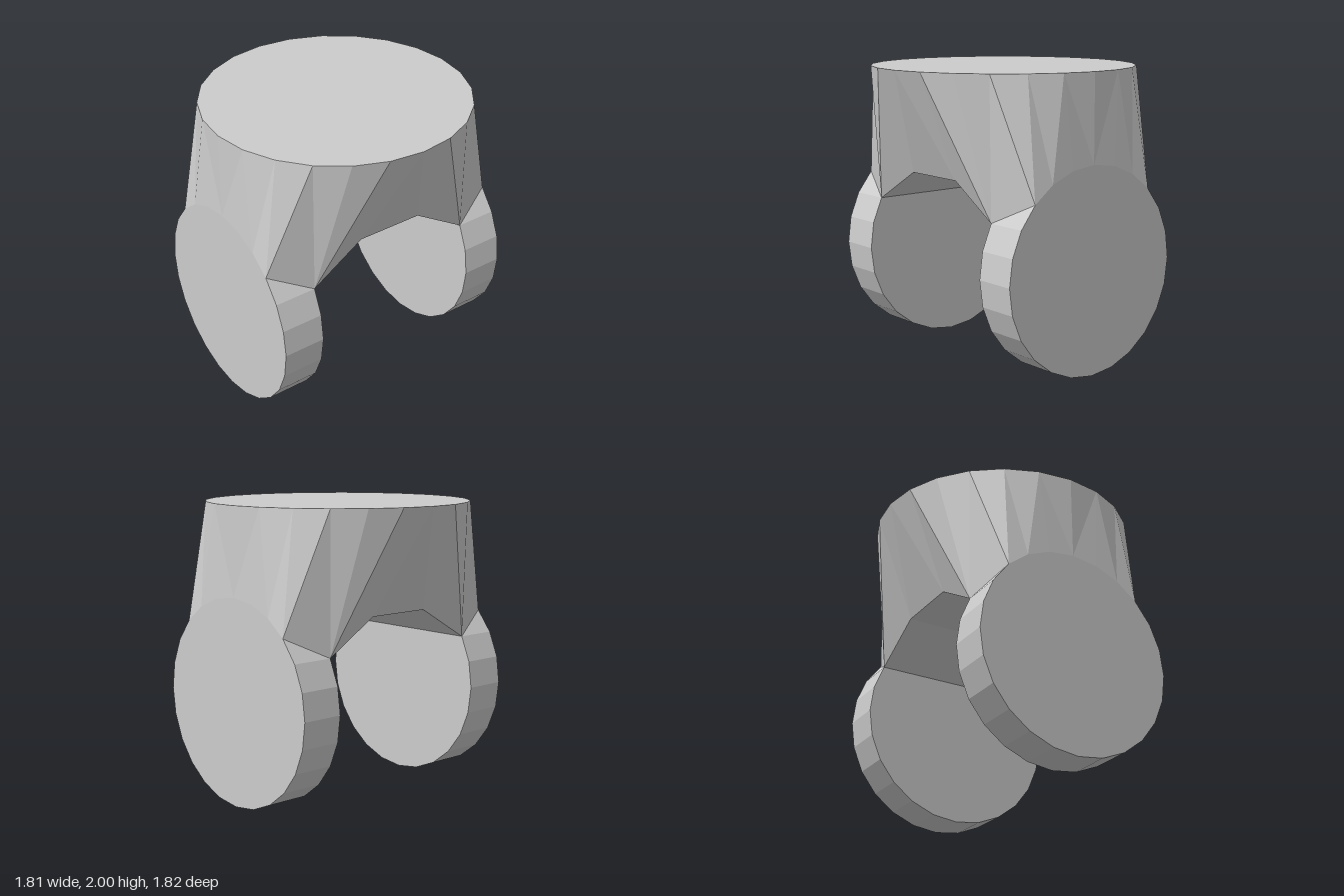
import * as THREE from 'three';

const SIDES = 24, STEP = Math.PI / 12;
const TOP_R = 0.907, TOP_Y = 2;
const DISC_R = 0.703, DISC_OUT = 0.91, DISC_IN = 0.615;

// Rim vertex i of the round top, counted from the front towards +x
const rim = i => [TOP_R * Math.sin(i * STEP), TOP_Y, TOP_R * Math.cos(i * STEP)];
// Vertex i of a disc, counted from its highest point towards +x
const discPoint = (i, z) => [DISC_R * Math.sin(i * STEP), DISC_R + DISC_R * Math.cos(i * STEP), z];

function facetGeometry(triangles) {
  const geometry = new THREE.BufferGeometry();
  geometry.setAttribute('position', new THREE.Float32BufferAttribute(triangles.flat(2), 3));
  geometry.computeVertexNormals();
  return geometry;
}

const flip = ([x, y, z], sx, sz) => [x * sx, y, z * sz];

export function createModel() {
  const model = new THREE.Group();
  model.name = 'pedestalOnDiscs';
  const material = new THREE.MeshStandardMaterial({ color: 0xcccccc, flatShading: true });
  const add = (name, geometry) => {
    const mesh = new THREE.Mesh(geometry, material);
    mesh.name = name;
    model.add(mesh);
    return mesh;
  };

  // Two upright discs, front and back
  for (const s of [1, -1]) {
    const disc = new THREE.CylinderGeometry(DISC_R, DISC_R, DISC_OUT - DISC_IN, SIDES);
    disc.rotateX(Math.PI / 2);
    add(s > 0 ? 'frontDisc' : 'backDisc', disc)
      .position.set(0, DISC_R, s * (DISC_OUT + DISC_IN) / 2);
  }

  // Round flat top
  add('top', new THREE.CircleGeometry(TOP_R, SIDES).rotateX(-Math.PI / 2).translate(0, TOP_Y, 0));

  // One quarter of the lower edge: over the disc, across its rim, up to the arch
  const corner = discPoint(4, DISC_IN);
  const arch = [0.6, 1.28, 0.235];
  const lower = [0, 1, 2, 3].map(i => discPoint(i, DISC_OUT)).concat([corner, arch]);

  // Stitch rim (t) and lower edge (q) together, mirrored to four quarters
  const skirt = [];
  for (const sx of [1, -1]) for (const sz of [1, -1]) {
    let t = 0, q = 0;
    for (const move of 'tqqtqtqttqt') {
      const next = move === 't' ? rim(t + 1) : lower[q + 1];
      const tri = [rim(t), lower[q], next].map(p => flip(p, sx, sz));
      skirt.push(sx * sz > 0 ? tri : tri.reverse());
      if (move === 't') t++; else q++;
    }
  }
  // Middle facet of each side, above the arch
  for (const sx of [1, -1]) {
    const tri = [rim(6), arch, flip(arch, 1, -1)].map(p => flip(p, sx, 1));
    skirt.push(sx > 0 ? tri : tri.reverse());
  }
  add('skirt', facetGeometry(skirt));

  // Arched underside between the discs
  const path = [corner, arch, flip(arch, 1, -1), flip(corner, 1, -1)];
  const underside = [];
  for (let i = 0; i < 3; i++) {
    const a = path[i], b = path[i + 1];
    const a2 = flip(a, -1, 1), b2 = flip(b, -1, 1);
    underside.push([a2, b2, b], [a2, b, a]);
  }
  add('underside', facetGeometry(underside));

  return model;
}
